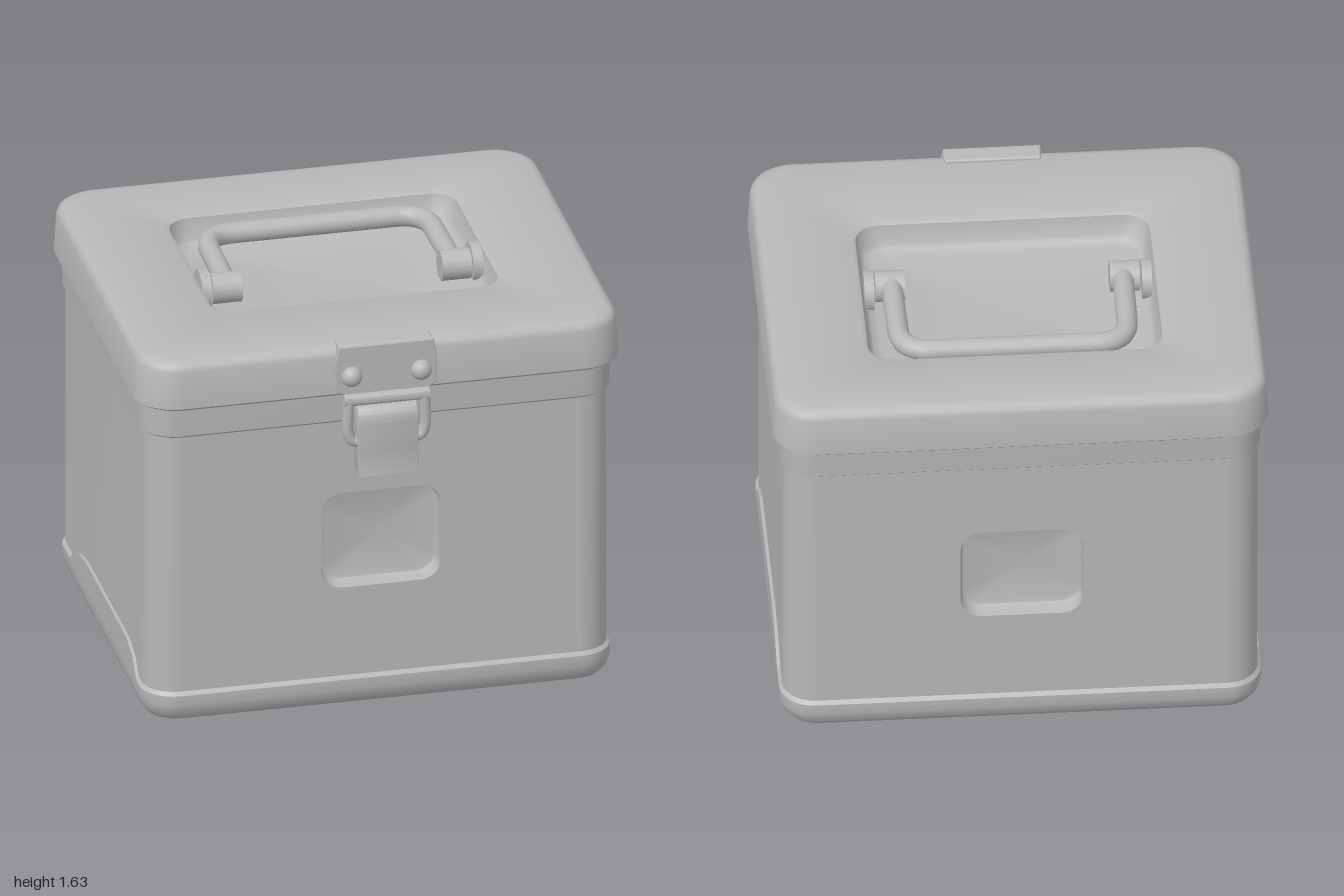
import * as THREE from 'three';
import { toCreasedNormals } from 'three/addons/utils/BufferGeometryUtils.js';
import { RoundedBoxGeometry } from 'three/addons/geometries/RoundedBoxGeometry.js';

const SEG = 8;   // segments per rounded corner
const ZC = -0.03; // middle of the box in z

// Skin over rounded rectangles [y, halfX, halfZ, radius, centreZ], bottom/outside first.
// skip: flat spans left open (0 front, 2 back).
function loft(rings, { capStart = false, capEnd = false, skip = [] } = {}) {
  const pos = [], idx = [], n = 4 * (SEG + 1);
  const signs = [[1, 1], [-1, 1], [-1, -1], [1, -1]];
  for (const [y, hx, hz, r, cz = 0] of rings) {
    signs.forEach(([sx, sz], k) => {
      for (let i = 0; i <= SEG; i++) {
        const a = (k + i / SEG) * Math.PI / 2;
        pos.push(sx * (hx - r) + r * Math.cos(a), y, cz + sz * (hz - r) + r * Math.sin(a));
      }
    });
  }
  for (let k = 0; k < rings.length - 1; k++) {
    for (let j = 0; j < n; j++) {
      if (j % (SEG + 1) === SEG && skip.includes(Math.floor(j / (SEG + 1)))) continue;
      const a = k * n + j, a2 = k * n + (j + 1) % n;
      idx.push(a, a + n, a2, a + n, a2 + n, a2);
    }
  }
  const cap = (k, up) => {
    const c = pos.length / 3;
    pos.push(0, rings[k][0], rings[k][4] ?? 0);
    for (let j = 0; j < n; j++) {
      const a = k * n + j, b = k * n + (j + 1) % n;
      idx.push(c, up ? b : a, up ? a : b);
    }
  };
  if (capStart) cap(0, false);
  if (capEnd) cap(rings.length - 1, true);
  const g = new THREE.BufferGeometry();
  g.setAttribute('position', new THREE.Float32BufferAttribute(pos, 3));
  g.setIndex(idx);
  return toCreasedNormals(g, 0.7);
}

function roundedPath(path, hx, hy, r, cx, cy) {
  [[1, 1], [-1, 1], [-1, -1], [1, -1]].forEach(([sx, sy], k) => {
    const x = cx + sx * (hx - r), y = cy + sy * (hy - r);
    path.absarc(x, y, r, k * Math.PI / 2, (k + 1) * Math.PI / 2, false);
  });
  path.closePath();
  return path;
}

export function createModel() {
  const group = new THREE.Group();
  const metal = new THREE.MeshStandardMaterial({ color: 0xb8b8b8 });
  metal.name = 'grey metal';
  const add = (name, geo, x = 0, y = 0, z = 0, parent = group) => {
    const m = new THREE.Mesh(geo, metal);
    m.name = name;
    m.position.set(x, y, z);
    parent.add(m);
    return m;
  };

  // Base tray with rounded lower edge
  add('base', loft([
    [0, 0.91, 0.75, 0.11, ZC], [0.012, 0.935, 0.773, 0.12, ZC], [0.04, 0.955, 0.793, 0.13, ZC],
    [0.08, 0.968, 0.806, 0.14, ZC], [0.125, 0.968, 0.806, 0.14, ZC], [0.14, 0.955, 0.793, 0.13, ZC],
  ], { capStart: true }));

  // Raised middle of the base on both sides
  const band = new THREE.Shape([[-0.62, 0.1], [0.62, 0.1], [0.5, 0.185], [0.42, 0.215], [0.3, 0.235],
    [-0.42, 0.235], [-0.52, 0.2]].map(p => new THREE.Vector2(...p)));
  for (const s of [-1, 1]) {
    const m = add('sideBand', new THREE.ExtrudeGeometry(band, { depth: 0.026, bevelEnabled: false }),
      s > 0 ? 0.942 : -0.968, 0, 0);
    m.rotation.y = Math.PI / 2;
  }

  // Walls, open at front and back for the recessed panels
  const hx = 0.955, hz = 0.793, r = 0.13, y0 = 0.13, y1 = 1.29;
  add('walls', loft([[y0, hx, hz, r, ZC], [y1, hx, hz, r, ZC]], { skip: [0, 2] }));
  for (const s of [1, -1]) {
    const side = new THREE.Group();
    side.name = s > 0 ? 'frontWall' : 'backWall';
    side.position.z = ZC + s * hz;
    side.rotation.y = s > 0 ? 0 : Math.PI;
    group.add(side);
    const w = hx - r;
    const panel = new THREE.Shape([[-w, y0], [w, y0], [w, y1], [-w, y1]].map(p => new THREE.Vector2(...p)));
    panel.holes.push(roundedPath(new THREE.Path(), 0.247, 0.21, 0.085, 0, 0.74));
    add('panel', new THREE.ShapeGeometry(panel, SEG), 0, 0, 0, side);
    const recess = loft([[0, 0.247, 0.21, 0.085], [-0.05, 0.242, 0.205, 0.08],
      [-0.065, 0.235, 0.198, 0.075], [-0.07, 0.22, 0.183, 0.06]], { capEnd: true });
    recess.rotateX(Math.PI / 2);
    add('handRecess', recess, 0, 0.74, 0, side);
  }

  // Rim under the lid
  add('rim', loft([[1.265, 0.95, 0.788, 0.13, ZC], [1.28, 0.966, 0.806, 0.14, ZC],
    [1.43, 0.97, 0.812, 0.14, ZC]]));

  // Lid with sunken handle well
  const WZ = -0.075;
  add('lid', loft([
    [1.415, 0.93, 0.78, 0.12, ZC], [1.41, 0.985, 0.838, 0.165, ZC], [1.422, 0.998, 0.852, 0.17, ZC],
    [1.58, 0.99, 0.846, 0.17, ZC], [1.602, 0.982, 0.838, 0.165, ZC], [1.615, 0.968, 0.824, 0.16, ZC],
    [1.622, 0.945, 0.8, 0.15, ZC], [1.62, 0.61, 0.463, 0.11, WZ], [1.61, 0.592, 0.446, 0.1, WZ],
    [1.53, 0.575, 0.43, 0.1, WZ], [1.51, 0.56, 0.415, 0.09, WZ], [1.5, 0.53, 0.385, 0.08, WZ],
  ], { capEnd: true }));

  // Folding handle
  const grip = new THREE.CurvePath();
  const v = (x, z) => new THREE.Vector3(x, 1.575, z);
  grip.add(new THREE.LineCurve3(v(-0.465, 0.03), v(-0.46, -0.29)));
  grip.add(new THREE.QuadraticBezierCurve3(v(-0.46, -0.29), v(-0.455, -0.42), v(-0.33, -0.42)));
  grip.add(new THREE.LineCurve3(v(-0.33, -0.42), v(0.33, -0.42)));
  grip.add(new THREE.QuadraticBezierCurve3(v(0.33, -0.42), v(0.455, -0.42), v(0.46, -0.29)));
  grip.add(new THREE.LineCurve3(v(0.46, -0.29), v(0.465, 0.03)));
  add('handleGrip', new THREE.TubeGeometry(grip, 80, 0.043, 14, false));
  for (const s of [-1, 1]) {
    const barrel = toCreasedNormals(new THREE.CylinderGeometry(0.063, 0.063, 0.12, 24), 0.7);
    add('handleBarrel', barrel.rotateZ(Math.PI / 2), s * 0.472, 1.56, 0.035);
    const ear = toCreasedNormals(new THREE.CylinderGeometry(0.083, 0.083, 0.04, 24), 0.7);
    add('handleEar', ear.rotateZ(Math.PI / 2), s * 0.558, 1.552, 0.018);
  }

  // Latch
  const latch = new THREE.Group();
  latch.name = 'latch';
  latch.position.x = 0.005;
  group.add(latch);
  const plate = new THREE.Shape([[-0.15, 1.38], [0.15, 1.38], [0.17, 1.42], [0.205, 1.44], [0.205, 1.56],
    [0.19, 1.625], [-0.19, 1.625], [-0.205, 1.56], [-0.205, 1.44], [-0.17, 1.42]].map(p => new THREE.Vector2(...p)));
  add('latchPlate', new THREE.ExtrudeGeometry(plate, {
    depth: 0.03, bevelSize: 0.006, bevelThickness: 0.006, bevelSegments: 2 }), 0, 0, 0.797, latch);
  add('latchPlateTop', new RoundedBoxGeometry(0.39, 0.025, 0.08, 3, 0.01), 0, 1.622, 0.785, latch);
  for (const s of [-1, 1]) {
    const rivet = add('rivet', new THREE.SphereGeometry(0.043, 20, 14), s * 0.143, 1.5, 0.837, latch);
    rivet.scale.z = 0.9;
  }
  const wire = new THREE.CatmullRomCurve3([[-0.155, 1.41], [-0.158, 1.35], [-0.158, 1.25], [-0.14, 1.215],
    [-0.09, 1.21], [0.09, 1.21], [0.14, 1.215], [0.158, 1.25], [0.158, 1.35], [0.155, 1.41]]
    .map(([x, y]) => new THREE.Vector3(x, y, 0.835)));
  add('latchLoop', new THREE.TubeGeometry(wire, 70, 0.023, 10, false), 0, 0, 0, latch);
  const pin = new THREE.CylinderGeometry(0.026, 0.026, 0.35, 16).rotateZ(Math.PI / 2);
  add('latchPin', toCreasedNormals(pin, 0.7), 0, 1.395, 0.833, latch);

  // Lever: side outline (z, y) extruded across x
  const lever = new THREE.Shape();
  lever.moveTo(0.785, 1.36);
  lever.lineTo(0.84, 1.36);
  lever.quadraticCurveTo(0.868, 1.35, 0.872, 1.31);
  lever.quadraticCurveTo(0.872, 1.2, 0.868, 1.17);
  lever.lineTo(0.88, 1.078);
  lever.lineTo(0.802, 1.083);
  lever.quadraticCurveTo(0.81, 1.16, 0.785, 1.22);
  lever.closePath();
  const leverGeo = new THREE.ExtrudeGeometry(lever, {
    depth: 0.23, bevelSize: 0.005, bevelThickness: 0.008, bevelSegments: 2 });
  leverGeo.rotateY(-Math.PI / 2);
  add('latchLever', toCreasedNormals(leverGeo, 0.6), 0.115, 0, 0, latch);

  return group;
}
